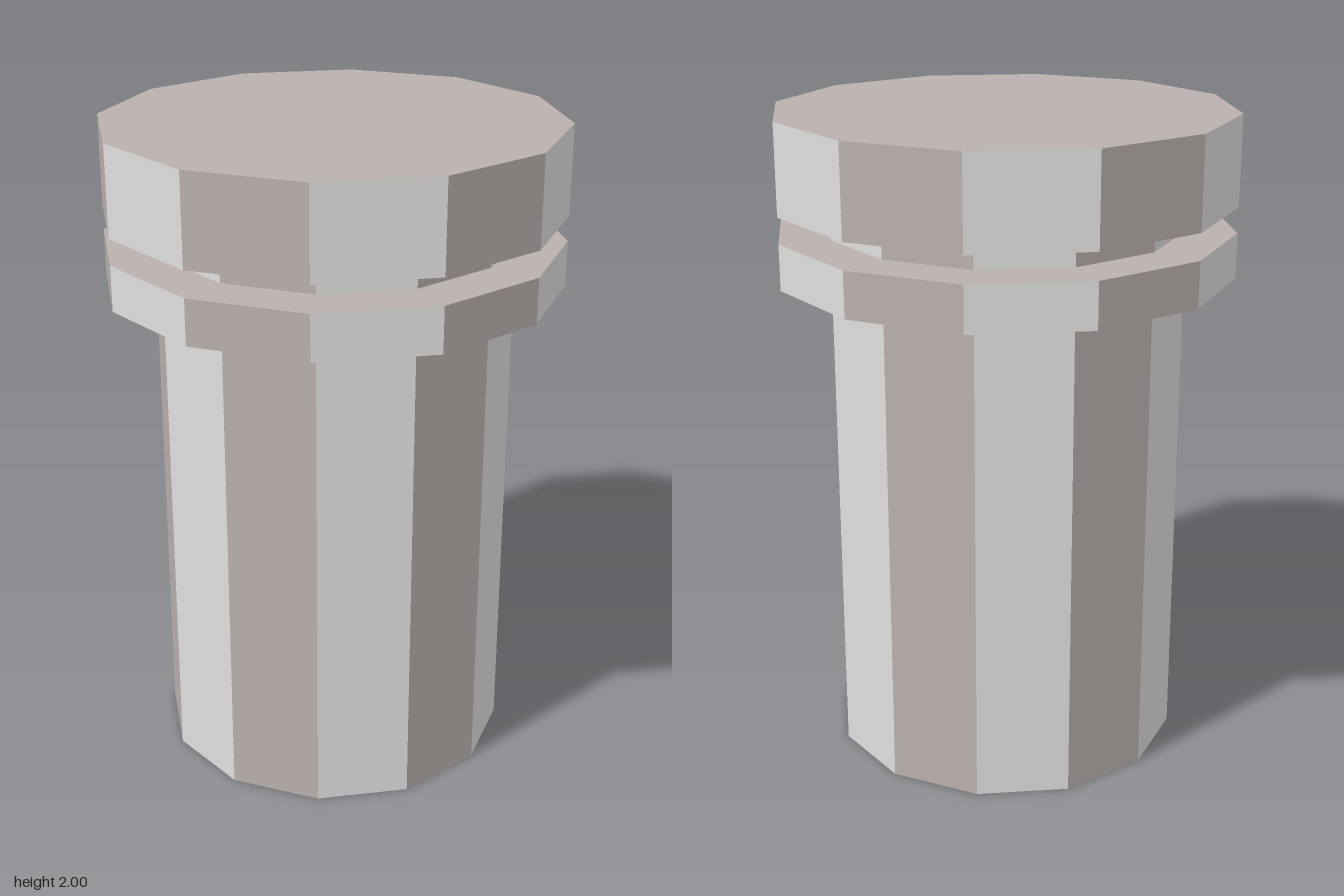
import * as THREE from 'three';

const SIDES = 12;

export function createModel() {
  const model = new THREE.Group();
  model.name = 'flangedPin';

  const paleGrey = new THREE.MeshStandardMaterial({ name: 'pale grey', color: 0xdedede });
  const warmGrey = new THREE.MeshStandardMaterial({ name: 'warm grey', color: 0xbab1ae });
  for (const m of [paleGrey, warmGrey]) m.flatShading = true;

  // Twelve-sided drum: side facets alternate in colour, end caps are warm grey
  function drum(name, radius, bottom, top) {
    const geo = new THREE.CylinderGeometry(radius, radius, top - bottom, SIDES);
    geo.clearGroups();
    for (let i = 0; i < SIDES; i++) geo.addGroup(i * 6, 6, i % 2);
    geo.addGroup(SIDES * 6, SIDES * 6, 1);
    const mesh = new THREE.Mesh(geo, [paleGrey, warmGrey]);
    mesh.name = name;
    mesh.position.y = (bottom + top) / 2;
    model.add(mesh);
  }

  drum('shaft', 0.543, 0, 1.51);
  drum('collar', 0.697, 1.51, 1.648);
  drum('neck', 0.543, 1.648, 1.727);
  drum('head', 0.697, 1.727, 2);

  return model;
}
